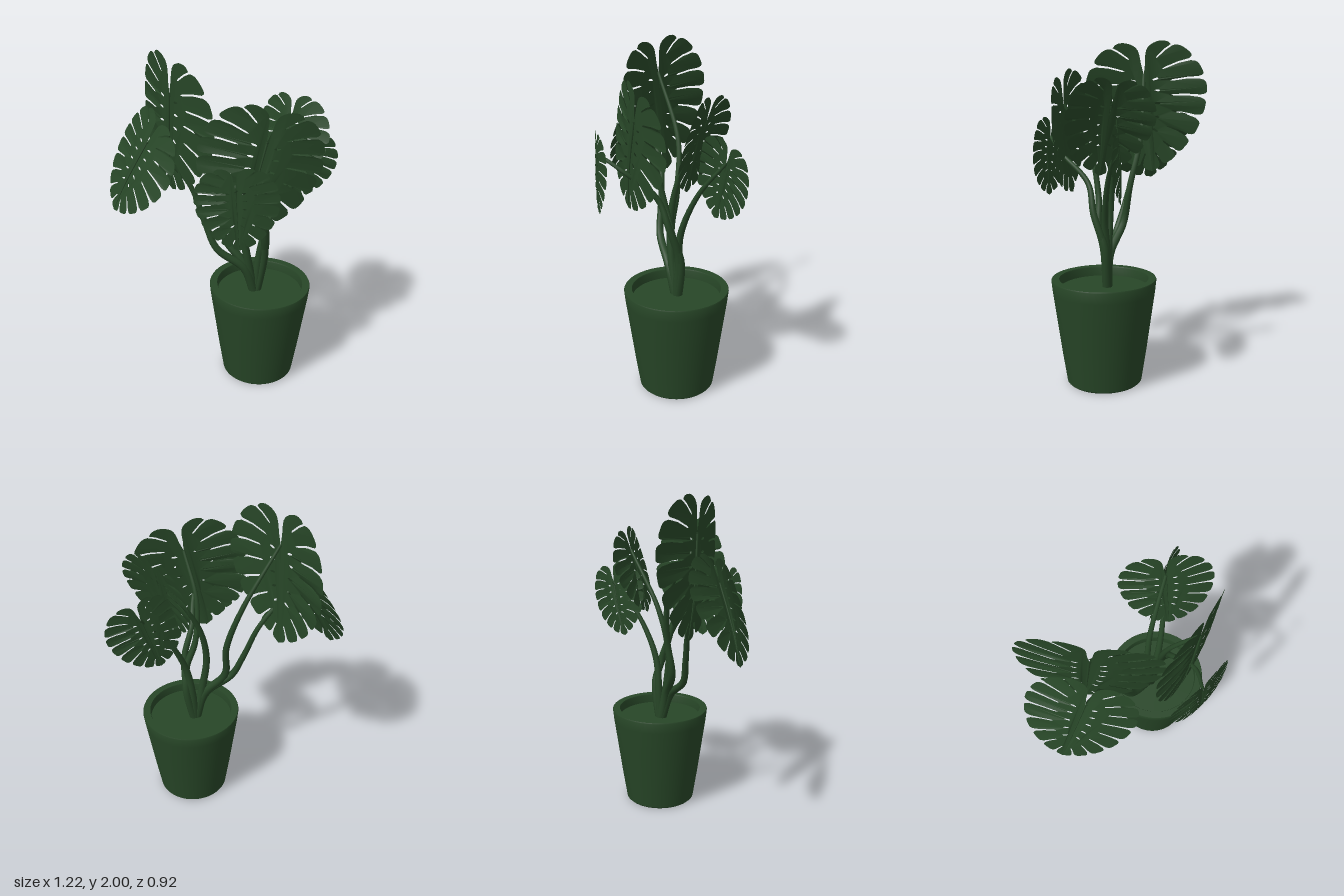
import * as THREE from 'three';
import { mergeGeometries, toCreasedNormals } from 'three/addons/utils/BufferGeometryUtils.js';

const V2 = (x, y) => new THREE.Vector2(x, y);
const V3 = (a) => new THREE.Vector3(...a);
const green = new THREE.MeshStandardMaterial({ color: 0x274627 });
const greenThin = new THREE.MeshStandardMaterial({ color: 0x274627, side: THREE.DoubleSide });

// Half of a heart-shaped margin; stalk joint at (0, 0), leaf tip at (0, -1)
const margin = new THREE.SplineCurve([
  V2(0.02, 0.1), V2(0.06, 0.27), V2(0.24, 0.33), V2(0.47, 0.22), V2(0.62, -0.02),
  V2(0.635, -0.3), V2(0.51, -0.62), V2(0.27, -0.87), V2(0, -1),
]);

// Slits along the margin, and the midrib height where the vein for margin position t starts
const SLITS = 8;
const slitAt = (i) => 0.31 + 0.63 * (i / (SLITS - 1)) ** 0.85;
const rootAt = (t) => -0.76 * Math.max(0, (t - 0.31) / 0.63) ** 1.5;

// Point a fraction d of the way from the margin to the midrib, along an arched vein
const vein = (t, d) => margin.getPoint(t).lerp(V2(0, rootAt(t)), d).add(V2(0, 0.16 * d * (1 - d)));

// Droop of the blade away from the midrib and toward the tip
const bend = (x, y) => 0.06 * Math.abs(x) - 0.3 * x * x - 0.1 * Math.max(0, -y - 0.3) ** 2;

function halfLeaf(side) {
  const pts = [V2(0, 0)];
  for (let i = 0; i <= SLITS; i++) {
    const first = i === 0, last = i === SLITS;
    const a = first ? 0 : slitAt(i - 1) + 0.006, b = last ? 1 : slitAt(i) - 0.006;
    // rounded finger between two slits
    for (let k = 0; k <= 12; k++) {
      const w = k / 6 - 1;
      const square = (w < 0 && first) || (w > 0 && last);
      pts.push(vein(a + (b - a) * (k / 12), square ? 0 : 0.1 * w ** 6));
    }
    if (last) break;
    // narrow slit running in toward the midrib, with a blunt inner end
    const t = slitAt(i), depth = 0.6 + 0.06 * (i % 2) - 0.015 * i;
    const dir = V2(0, rootAt(t)).sub(margin.getPoint(t)).normalize();
    const across = V2(-dir.y, dir.x);
    for (const [d, off] of [[0.5, -0.009], [0.92, -0.008], [1, 0], [0.92, 0.008], [0.5, 0.009]]) {
      pts.push(vein(t, depth * d).addScaledVector(across, off));
    }
  }
  const shape = new THREE.Shape(pts.map((p) => V2(p.x * side, p.y)));
  // small oval holes beside the midrib, between the veins
  for (let i = 1; i < 6; i++) {
    const t = (slitAt(i) + slitAt(i + 1)) / 2, c = vein(t, 0.8);
    const angle = margin.getPoint(t).sub(V2(0, rootAt(t))).angle();
    const oval = new THREE.EllipseCurve(c.x, c.y, 0.034, 0.011, 0, Math.PI * 2, false, angle);
    const ring = oval.getPoints(10).slice(1);
    shape.holes.push(new THREE.Path(ring.map((p) => V2(p.x * side, p.y))));
  }
  const g = new THREE.ShapeGeometry(shape);
  const pos = g.attributes.position;
  for (let i = 0; i < pos.count; i++) pos.setZ(i, bend(pos.getX(i), pos.getY(i)));
  g.computeVertexNormals();
  return g;
}

// Tube along a smooth path whose radius goes from r0 to r1
function taperedTube(points, r0, r1, segs = 36, sides = 10) {
  const curve = new THREE.CatmullRomCurve3(points);
  const g = new THREE.TubeGeometry(curve, segs, 1, sides);
  const pos = g.attributes.position, v = new THREE.Vector3();
  for (let i = 0; i < pos.count; i++) {
    const t = Math.floor(i / (sides + 1)) / segs, c = curve.getPointAt(t);
    v.fromBufferAttribute(pos, i).sub(c).multiplyScalar(r0 + (r1 - r0) * t).add(c);
    pos.setXYZ(i, v.x, v.y, v.z);
  }
  return g;
}

// A leaf blade hung from joint to tip, turned by heading about the vertical, plus its stalk
function addLeaf(model, parts, name, joint, tip, heading, stem) {
  const up = V3(joint).sub(V3(tip)), size = up.length();
  up.normalize();
  const across = new THREE.Vector3(Math.cos(heading), 0, Math.sin(heading));
  across.addScaledVector(up, -across.dot(up)).normalize();
  const leaf = new THREE.Group();
  leaf.name = name;
  const basis = new THREE.Matrix4().makeBasis(across, up, across.clone().cross(up));
  leaf.quaternion.setFromRotationMatrix(basis);
  leaf.position.copy(V3(joint));
  leaf.scale.setScalar(size);
  const blade = new THREE.Mesh(parts.blade, greenThin), rib = new THREE.Mesh(parts.rib, green);
  blade.name = 'blade';
  rib.name = 'midrib';
  leaf.add(blade, rib);

  const root = [0.21, 0.52, -0.04];
  const stalk = new THREE.Mesh(taperedTube([root, ...stem, joint].map(V3), 0.029, 0.009), green);
  stalk.name = name + 'Stalk';
  model.add(leaf, stalk);
}

function makePot() {
  const pot = new THREE.Group();
  pot.name = 'pot';
  const profile = [
    V2(0, 0), V2(0.212, 0), V2(0.22, 0.008), V2(0.248, 0.19), V2(0.277, 0.4), V2(0.298, 0.55),
    V2(0.305, 0.615), V2(0.302, 0.622), V2(0.26, 0.622), V2(0.257, 0.615), V2(0.257, 0.54),
  ];
  const shell = new THREE.Mesh(toCreasedNormals(new THREE.LatheGeometry(profile, 64), 0.6), greenThin);
  shell.name = 'potShell';
  const soil = new THREE.Mesh(new THREE.CircleGeometry(0.257, 64).rotateX(-Math.PI / 2), green);
  soil.name = 'soil';
  soil.position.y = 0.565;
  pot.add(shell, soil);
  pot.position.set(0.238, 0, -0.043);
  return pot;
}

export function createModel() {
  const model = new THREE.Group();
  model.name = 'pottedPlant';
  model.add(makePot());

  const ribPath = [0, 0.33, 0.66, 0.97].map((d) => new THREE.Vector3(0, -d, bend(0, -d)));
  const parts = {
    blade: mergeGeometries([halfLeaf(1), halfLeaf(-1)]),
    rib: taperedTube(ribPath, 0.012, 0.003, 16, 6),
  };

  // name, joint, tip, heading, bends of the stalk
  addLeaf(model, parts, 'tallLeaf', [-0.245, 1.79, 0.16], [-0.29, 1.19, 0.14], 0.47,
    [[0.16, 0.74, 0], [0.03, 0.91, 0.03], [0.005, 1.13, 0], [-0.09, 1.42, 0.01]]);
  addLeaf(model, parts, 'lowLeftLeaf', [-0.32, 1.53, 0.28], [-0.52, 1.12, 0.4], 0.44,
    [[0.16, 0.73, 0.02], [0.02, 0.86, 0.1], [-0.055, 1.02, 0.11], [-0.15, 1.26, 0.13]]);
  addLeaf(model, parts, 'rightLeaf', [0.36, 1.62, 0.16], [0.27, 1.1, 0.25], -0.64,
    [[0.25, 0.79, -0.07], [0.265, 0.93, -0.03], [0.225, 1.1, 0.02], [0.24, 1.36, 0.08]]);
  addLeaf(model, parts, 'lowFrontLeaf', [0.3, 1.42, 0.39], [0.33, 1.07, 0.395], -0.41,
    [[0.255, 0.82, -0.06], [0.285, 1, -0.01], [0.27, 1.17, 0.06], [0.33, 1.33, 0.23]]);
  addLeaf(model, parts, 'backLeaf', [0.315, 1.63, -0.22], [0.315, 1.24, -0.1], 0.31,
    [[0.17, 0.8, 0], [0.145, 1.02, 0.01], [0.17, 1.28, -0.05]]);
  addLeaf(model, parts, 'lowBackLeaf', [0.365, 1.42, -0.335], [0.28, 1.09, -0.275], 2.32,
    [[0.22, 0.75, -0.05], [0.25, 0.96, -0.07], [0.31, 1.22, -0.18]]);
  return model;
}
